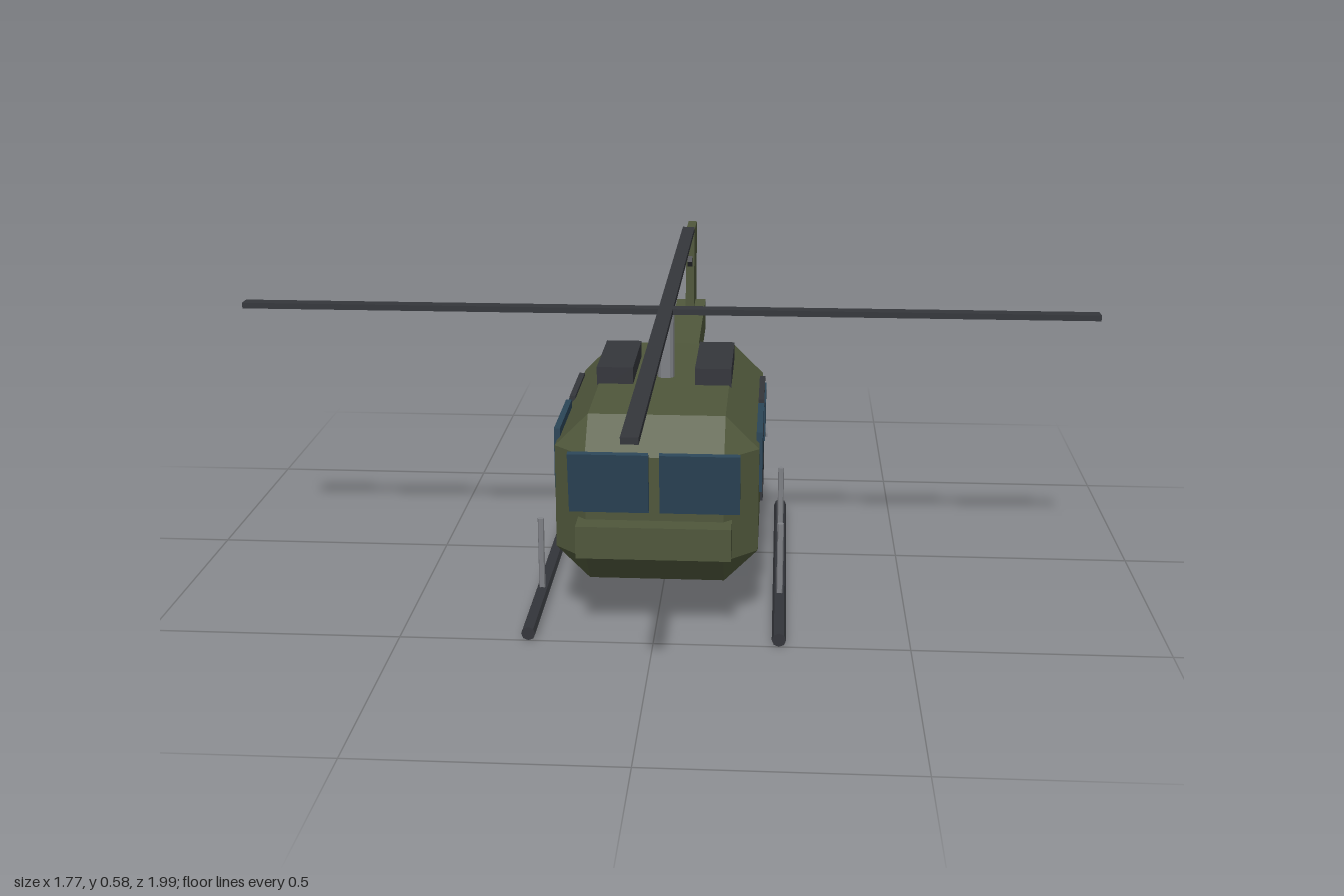
import * as THREE from 'three';
import { ConvexGeometry } from 'three/addons/geometries/ConvexGeometry.js';

const paint = (color) => new THREE.MeshStandardMaterial({ color, flatShading: true });

export function createModel() {
  const model = new THREE.Group();
  const olive = paint(0x4f573b);
  const dark = paint(0x34363b);
  const steel = paint(0x808287);
  const glass = paint(0x2b4557);

  function add(name, geometry, material, x, y, z, rx = 0) {
    const mesh = new THREE.Mesh(geometry, material);
    mesh.name = name;
    mesh.position.set(x, y, z);
    mesh.rotation.x = rx;
    model.add(mesh);
    return mesh;
  }
  const box = (w, h, d) => new THREE.BoxGeometry(w, h, d);

  // Box with flat chamfers on every edge and triangular corners
  function chamferedBox(w, h, d, c) {
    const points = [];
    for (const sx of [-1, 1]) for (const sy of [-1, 1]) for (const sz of [-1, 1]) {
      const [x, y, z] = [w / 2, h / 2, d / 2];
      points.push(
        new THREE.Vector3(sx * x, sy * (y - c), sz * (z - c)),
        new THREE.Vector3(sx * (x - c), sy * y, sz * (z - c)),
        new THREE.Vector3(sx * (x - c), sy * (y - c), sz * z));
    }
    return new ConvexGeometry(points);
  }

  // Cabin and nose
  add('fuselage', chamferedBox(0.4, 0.342, 0.686, 0.066), olive, 0, 0.262, 0.112);
  add('nose', box(0.3, 0.065, 0.1), olive, 0, 0.206, 0.447);

  // Tail boom rises gently to the fin
  add('tailBoom', box(0.076, 0.08, 0.74), olive, 0, 0.295, -0.555, 0.062);
  add('tailFin', box(0.022, 0.3, 0.133), olive, 0, 0.407, -0.912);
  add('tailRotor', box(0.012, 0.019, 0.217), dark, 0, 0.407, -0.914, -Math.PI / 4);

  // Mast and crossed main blades
  add('mast', new THREE.CylinderGeometry(0.018, 0.018, 0.15, 12), steel, 0, 0.5, 0.109);
  add('bladeAcross', box(1.774, 0.012, 0.03), dark, 0, 0.574, 0.109);
  add('bladeAlong', box(0.03, 0.012, 1.774), dark, 0, 0.574, 0.109);

  // Parts mirrored left and right
  for (const [side, s] of [['left', 1], ['right', -1]]) {
    add(side + 'Windshield', box(0.155, 0.125, 0.012), glass, s * 0.088, 0.318, 0.463, 0.165);
    add(side + 'CabinWindow', box(0.012, 0.124, 0.203), glass, s * 0.2, 0.328, 0.251);
    add(side + 'Door', box(0.012, 0.225, 0.185), dark, s * 0.2, 0.267, -0.003);
    add(side + 'DoorWindow', box(0.012, 0.085, 0.155), glass, s * 0.203, 0.328, 0.003);
    add(side + 'DoorHandle', box(0.01, 0.008, 0.043), steel, s * 0.208, 0.263, -0.053);
    add(side + 'EnginePod', box(0.075, 0.05, 0.22), dark, s * 0.101, 0.443, 0.065);
    add(side + 'Skid', new THREE.CylinderGeometry(0.014, 0.014, 0.775, 8), dark,
      s * 0.245, 0.014, 0.112, Math.PI / 2);
    for (const [end, z] of [['Front', 0.289], ['Rear', -0.066]]) {
      add(side + end + 'Strut', new THREE.CylinderGeometry(0.0065, 0.0065, 0.16, 8), steel,
        s * 0.245, 0.097, z);
    }
  }
  return model;
}
